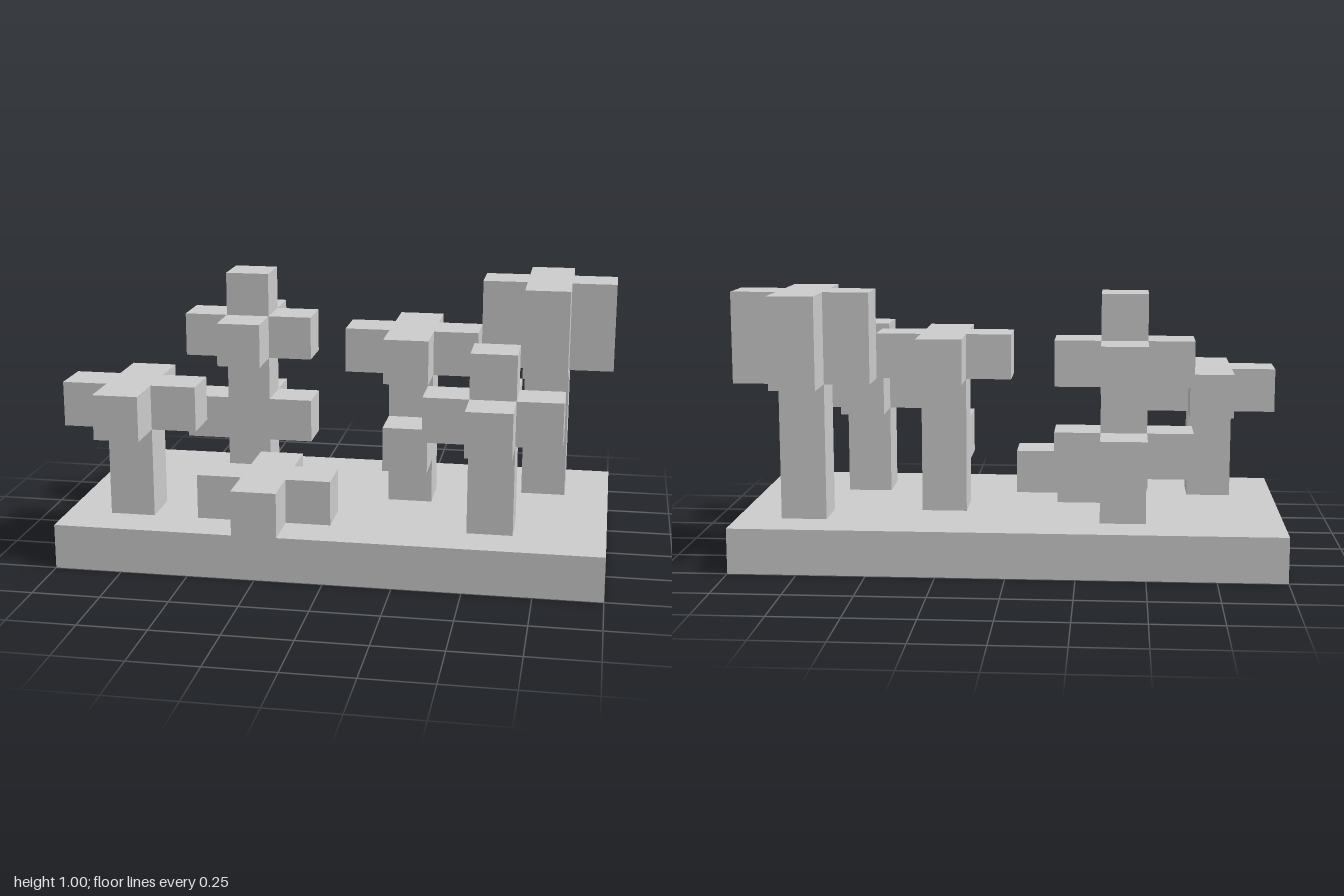
import * as THREE from 'three';

const U = 1 / 6; // one block
const material = new THREE.MeshStandardMaterial({ color: 0xcccccc, flatShading: true });

// Box given by its minimum corner and size in blocks, on a 12 x 6 block plot
function block(name, x, y, z, w, h, d) {
  const mesh = new THREE.Mesh(new THREE.BoxGeometry(w * U, h * U, d * U), material);
  mesh.name = name;
  mesh.position.set((x + w / 2 - 6) * U, (y + h / 2) * U, (z + d / 2 - 3) * U);
  return mesh;
}

// Directions a branch can grow from the trunk
const DIRS = { left: [1, 0], right: [-1, 0], front: [0, 1], back: [0, -1] };
const ALL = Object.keys(DIRS);

// Tree: a one-block trunk with rings of branches { y, h, sides }
function tree(name, x, z, height, rings) {
  const group = new THREE.Group();
  group.name = name;
  group.add(block('trunk', x, 1, z, 1, height, 1));
  for (const { y, h = 1, sides = ALL } of rings) {
    for (const side of sides) {
      const [dx, dz] = DIRS[side];
      group.add(block(side + 'Branch', x + dx, y, z + dz, 1, h, 1));
    }
  }
  return group;
}

export function createModel() {
  const model = new THREE.Group();
  model.name = 'blockGarden';

  // Ground slab
  model.add(block('ground', 0, 0, 0, 12, 1, 6));

  // Trees and the low bush
  model.add(
    tree('smallTree', 1, 4, 3, [{ y: 3 }]),
    tree('tieredTree', 3, 1, 5, [{ y: 2, sides: ['left', 'right', 'back'] }, { y: 4 }]),
    tree('bush', 4, 4, 1, [{ y: 1 }]),
    tree('branchingTree', 7, 2, 4, [{ y: 2, sides: ['front'] }, { y: 4 }]),
    tree('cappedTree', 9, 4, 4, [{ y: 3 }]),
    tree('tallTree', 10, 1, 5, [{ y: 4, h: 2 }])
  );
  return model;
}
